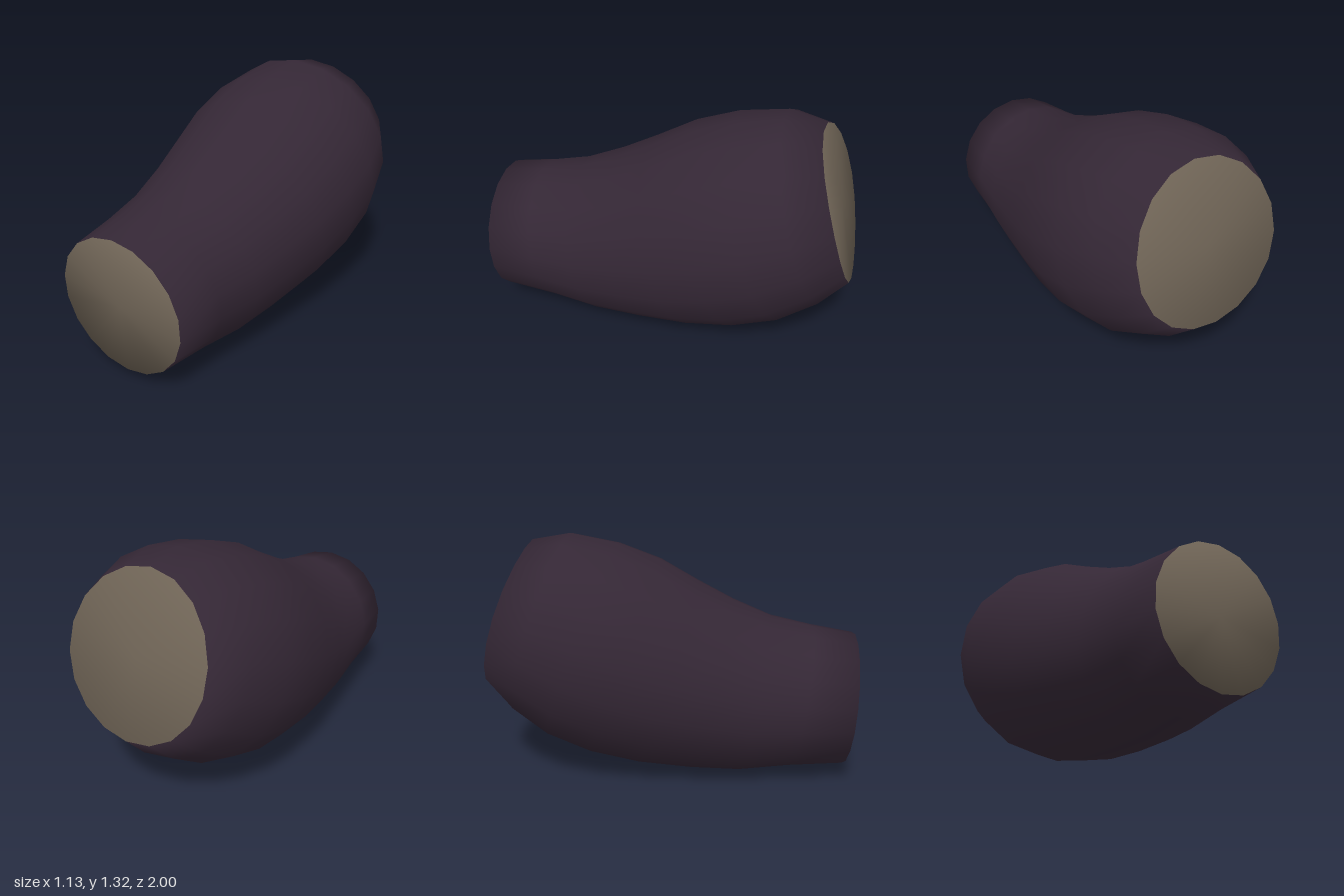
import * as THREE from 'three';

// Each ring: top z, top y, bottom z, bottom y, half width
const RINGS = [
  [1.0, 0.78, 0.95, 0.05, 0.37],
  [0.77, 0.82, 0.65, 0.03, 0.4],
  [0.55, 0.87, 0.38, 0.0, 0.44],
  [0.34, 0.96, 0.11, 0.01, 0.485],
  [0.15, 1.06, -0.18, 0.04, 0.535],
  [-0.06, 1.18, -0.45, 0.1, 0.572],
  [-0.29, 1.265, -0.69, 0.2, 0.575],
  [-0.55, 1.315, -0.88, 0.34, 0.52],
  [-0.75, 1.28, -1.0, 0.475, 0.41],
];
const SIDES = 18;

export function createModel() {
  const skin = new THREE.MeshStandardMaterial({ color: 0x342735 });
  skin.name = 'dark plum';
  const cut = new THREE.MeshStandardMaterial({ color: 0x6e6355 });
  cut.name = 'taupe';

  const positions = [];
  const indices = [];
  const last = RINGS.length - 1;

  // Tilted elliptical cross-sections along the bent body
  RINGS.forEach(([tz, ty, bz, by, w], j) => {
    for (let i = 0; i < SIDES; i++) {
      const a = (i / SIDES) * Math.PI * 2;
      const c = Math.cos(a), s = Math.sin(a);
      const bulge = j === last ? -0.025 * s * s : 0; // rear rim bows backwards
      positions.push(
        w * s,
        (ty + by) / 2 + ((ty - by) / 2) * c,
        (tz + bz) / 2 + ((tz - bz) / 2) * c + bulge
      );
    }
  });

  // Side wall
  const at = (i, j) => j * SIDES + (i % SIDES);
  for (let j = 0; j < last; j++) {
    for (let i = 0; i < SIDES; i++) {
      const a = at(i, j), b = at(i + 1, j), c = at(i, j + 1), d = at(i + 1, j + 1);
      indices.push(a, b, c, b, d, c);
    }
  }
  const wallCount = indices.length;

  // End caps share the rim so the shading rolls over the edge
  const addCap = (j, z, front) => {
    const [, ty, , by] = RINGS[j];
    const centre = positions.length / 3;
    positions.push(0, (ty + by) / 2, z);
    for (let i = 0; i < SIDES; i++) {
      const a = at(i, j), b = at(i + 1, j);
      indices.push(centre, front ? b : a, front ? a : b);
    }
  };
  addCap(0, 0.978, true);
  addCap(last, -0.895, false);

  const geometry = new THREE.BufferGeometry();
  geometry.setAttribute('position', new THREE.Float32BufferAttribute(positions, 3));
  geometry.setIndex(indices);
  geometry.addGroup(0, wallCount, 0);
  geometry.addGroup(wallCount, indices.length - wallCount, 1);
  geometry.computeVertexNormals();

  const body = new THREE.Mesh(geometry, [skin, cut]);
  body.name = 'limbSegment';
  const group = new THREE.Group();
  group.name = 'limb';
  group.add(body);
  return group;
}
